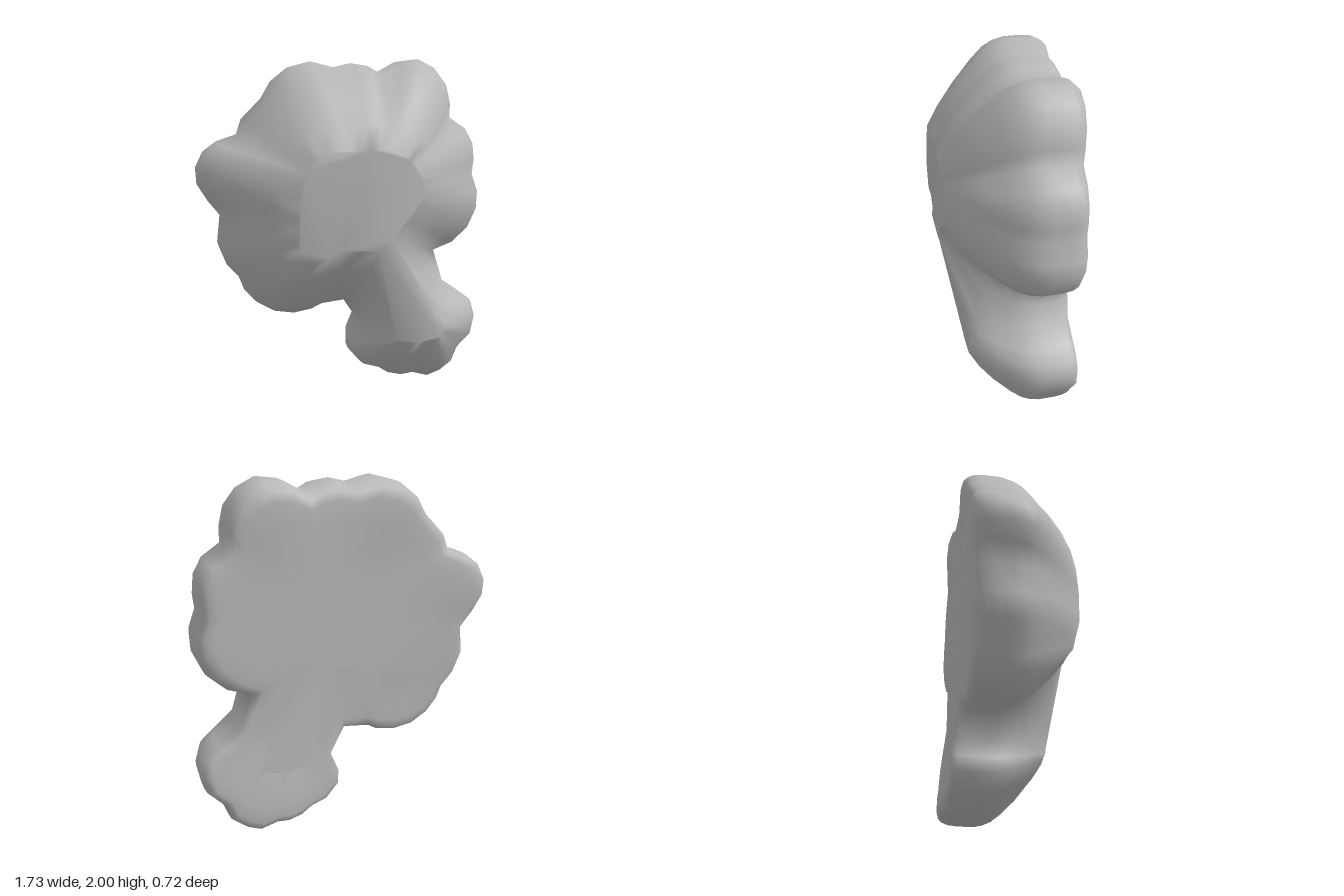
import * as THREE from 'three';

// Lobed outline, clockwise seen from the front, starting at the top right notch
const outline = [
  0.23, 1.92, 0.35, 1.985, 0.47, 2.0, 0.57, 1.95, 0.64, 1.86, 0.665, 1.75, 0.665, 1.66,
  0.77, 1.59, 0.82, 1.5, 0.83, 1.4, 0.82, 1.31, 0.86, 1.2, 0.855, 1.09, 0.8, 0.97, 0.7, 0.88,
  0.58, 0.84, 0.61, 0.75, 0.645, 0.63, 0.76, 0.55, 0.84, 0.49, 0.865, 0.4, 0.84, 0.28,
  0.75, 0.19, 0.71, 0.09, 0.63, 0.03, 0.55, 0.0, 0.45, 0.03, 0.37, 0.02, 0.29, 0.04,
  0.23, 0.08, 0.13, 0.11, 0.05, 0.2, 0.05, 0.29, 0.1, 0.4, 0.01, 0.54,
  -0.15, 0.52, -0.2, 0.49, -0.31, 0.47, -0.43, 0.49, -0.53, 0.55, -0.6, 0.63, -0.63, 0.71,
  -0.7, 0.79, -0.75, 0.92, -0.73, 1.09, -0.8, 1.18, -0.86, 1.28, -0.865, 1.37, -0.82, 1.46,
  -0.74, 1.52, -0.62, 1.56, -0.59, 1.65, -0.47, 1.77, -0.41, 1.87, -0.31, 1.95,
  -0.18, 1.985, -0.04, 1.95, 0.06, 1.975, 0.16, 1.96,
];
const count = outline.length / 2;

// Edge of the front plateau: [outline index, x, y, z], interpolated in between
const plateau = [
  [0, 0.2, 1.51, 0.335], [5, 0.33, 1.43, 0.335], [10, 0.4, 1.3, 0.335], [13, 0.37, 1.2, 0.345],
  [15, 0.2, 1.01, 0.36], [16, 0.36, 0.78, 0.265], [17, 0.45, 0.6, 0.25], [20, 0.57, 0.43, 0.24],
  [24, 0.52, 0.37, 0.25], [28, 0.36, 0.35, 0.25], [32, 0.23, 0.39, 0.25], [33, 0.22, 0.55, 0.255],
  [34, 0.14, 0.94, 0.345], [36, -0.08, 0.95, 0.35], [39, -0.28, 0.84, 0.3], [42, -0.32, 1.0, 0.335],
  [45, -0.31, 1.2, 0.34], [48, -0.29, 1.36, 0.335], [52, -0.21, 1.49, 0.335], [count, 0.2, 1.51, 0.335],
];

function plateauPoint(i) {
  const k = plateau.findIndex((p) => p[0] > i);
  const a = plateau[k - 1], b = plateau[k];
  const t = (i - a[0]) / (b[0] - a[0]);
  return [1, 2, 3].map((n) => a[n] + (b[n] - a[n]) * t);
}

// Cross-section layers from back to front: inset toward the plateau, and depth.
// Back layers lift off the back surface, front layers take a fraction of the rise to the plateau.
const layers = [
  { inset: 1, lift: 0 }, { inset: 0.7, lift: 0 }, { inset: 0.42, lift: 0 }, { inset: 0.2, lift: 0 },
  { inset: 0.1, lift: 0.01 }, { inset: 0.05, lift: 0.03 }, { inset: 0.015, lift: 0.065 },
  { inset: 0, lift: 0.12 }, { inset: 0, rise: 0 },
  { inset: 0.03, rise: 0.14 }, { inset: 0.09, rise: 0.27 }, { inset: 0.22, rise: 0.43 },
  { inset: 0.45, rise: 0.65 }, { inset: 0.72, rise: 0.85 }, { inset: 1, rise: 1 },
];

// Back surface: nearly flat, hollowed toward the neck, swelling at the outer lobes
const swells = [[0.45, 1.88], [-0.28, 1.85], [-0.75, 1.37], [0.48, 0.12]];
function backDepth(x, y) {
  const hollow = 0.022 * Math.exp(-(((y - 0.62) / 0.25) ** 2));
  const swell = Math.max(...swells.map(([sx, sy]) => Math.exp(-((x - sx) ** 2 + (y - sy) ** 2) / 0.05)));
  return -0.33 + hollow - 0.03 * swell;
}

function bodyGeometry() {
  const positions = [], index = [], inner = [];
  for (let i = 0; i < count; i++) inner.push(plateauPoint(i));
  for (const { inset, lift, rise } of layers) {
    for (let i = 0; i < count; i++) {
      const [px, py, pz] = inner[i];
      const x = outline[2 * i] + (px - outline[2 * i]) * inset;
      const y = outline[2 * i + 1] + (py - outline[2 * i + 1]) * inset;
      positions.push(x, y, rise === undefined ? backDepth(x, y) + lift : -0.13 + (pz + 0.13) * rise);
    }
  }
  // Skin between neighbouring layers
  for (let l = 0; l < layers.length - 1; l++) {
    for (let i = 0; i < count; i++) {
      const a = l * count + i, b = l * count + (i + 1) % count;
      const c = a + count, d = b + count;
      index.push(a, c, b, b, c, d);
    }
  }
  // Flat back and front caps
  const points = inner.map(([x, y]) => new THREE.Vector2(x, y));
  const front = (layers.length - 1) * count;
  for (const tri of THREE.ShapeUtils.triangulateShape(points, [])) {
    const ccw = THREE.ShapeUtils.area(tri.map((n) => points[n])) > 0;
    const [a, b, c] = ccw ? tri : [tri[0], tri[2], tri[1]];
    index.push(front + a, front + b, front + c, a, c, b);
  }
  const geometry = new THREE.BufferGeometry();
  geometry.setAttribute('position', new THREE.Float32BufferAttribute(positions, 3));
  geometry.setIndex(index);
  geometry.computeVertexNormals();
  return geometry;
}

export function createModel() {
  const group = new THREE.Group();
  group.name = 'lobedBlob';
  const grey = new THREE.MeshStandardMaterial({ color: 0xb8b8b8 });
  grey.name = 'grey';
  const body = new THREE.Mesh(bodyGeometry(), grey);
  body.name = 'crownAndFoot';
  group.add(body);
  return group;
}
